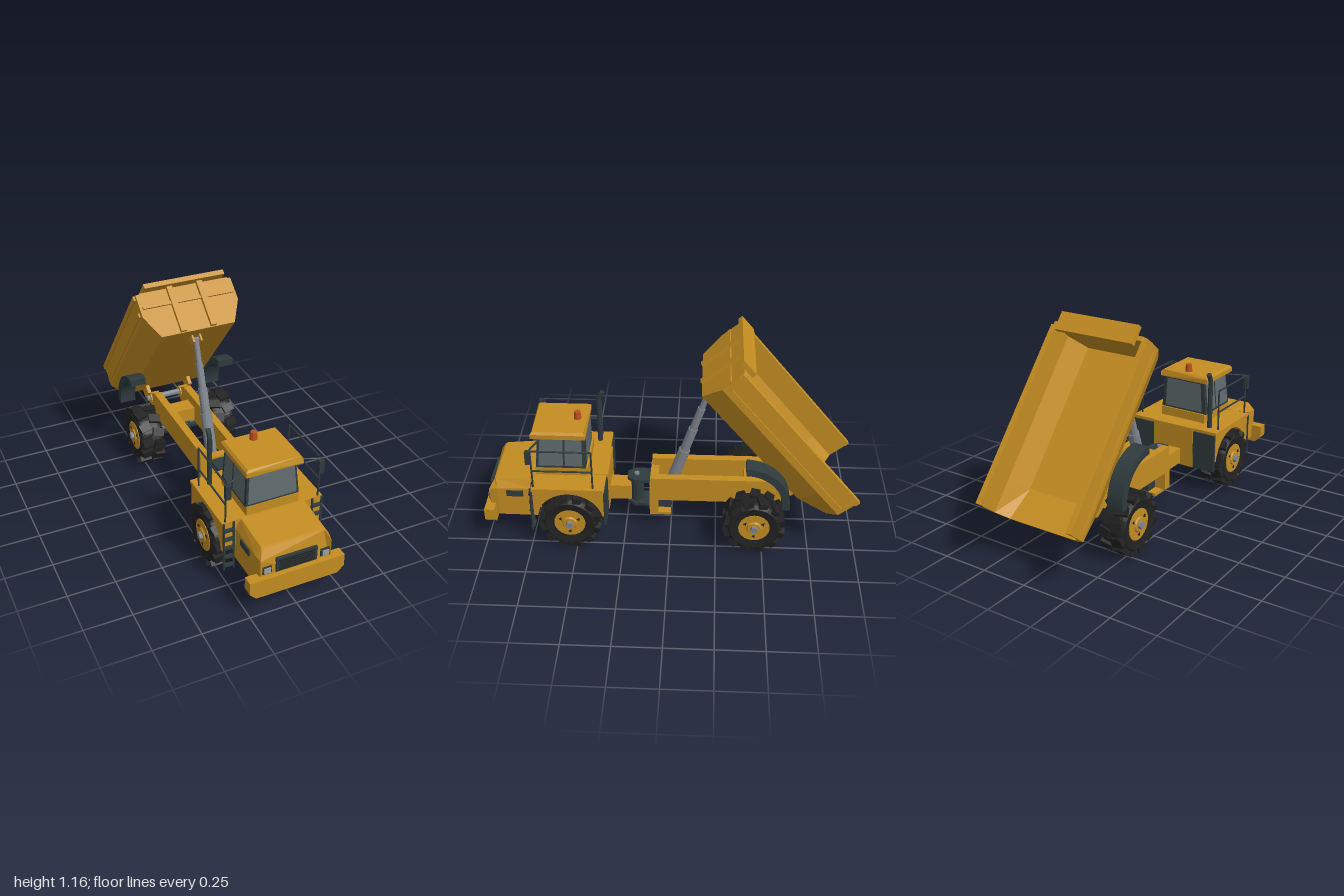
import * as THREE from 'three';

const mat = (name, color, side = THREE.FrontSide) => {
  const m = new THREE.MeshStandardMaterial({ color, side });
  m.name = name;
  m.flatShading = true;
  return m;
};
const yellow = mat('ochre paint', 0xc48d22);
const dark = mat('dark slate', 0x2f3b3d);
const rubber = mat('tyre rubber', 0x222222);
const glass = mat('tinted glass', 0x5f6a6d, THREE.DoubleSide);
const steel = mat('steel', 0x7f848c);
const lamp = mat('lamp lens', 0x9aa0a3);
const orange = mat('beacon orange', 0xb8501f);

export function createModel() {
  const root = new THREE.Group();
  const group = (name, parent = root) => {
    const g = new THREE.Group();
    g.name = name;
    parent.add(g);
    return g;
  };
  const add = (parent, name, geo, m) => {
    const mesh = new THREE.Mesh(geo, m);
    mesh.name = name;
    parent.add(mesh);
    return mesh;
  };
  // box from min/max ranges
  const box = (p, name, m, x0, x1, y0, y1, z0, z1) => add(p, name,
    new THREE.BoxGeometry(x1 - x0, y1 - y0, z1 - z0).translate((x0 + x1) / 2, (y0 + y1) / 2, (z0 + z1) / 2), m);
  // straight round bar between two points
  const rod = (p, name, m, a, b, r, r2 = r, seg = 8) => {
    const A = new THREE.Vector3(...a), B = new THREE.Vector3(...b);
    const mesh = add(p, name, new THREE.CylinderGeometry(r2, r, A.distanceTo(B), seg), m);
    mesh.position.copy(A).add(B).multiplyScalar(0.5);
    mesh.quaternion.setFromUnitVectors(new THREE.Vector3(0, 1, 0), B.sub(A).normalize());
  };
  const polygon = pts => new THREE.Shape(pts.map(q => new THREE.Vector2(...q)));
  // side profile, a shape in (z, y), extruded from x0 to x1
  const profile = (p, name, m, shape, x0, x1) => {
    const geo = new THREE.ExtrudeGeometry(shape, { depth: x1 - x0, bevelEnabled: false, curveSegments: 12 });
    add(p, name, geo.rotateY(-Math.PI / 2).translate(x1, 0, 0), m);
  };
  // skin between [x, y, z] sections, ordered rear to front and counter-clockwise from the front
  const loft = (p, name, m, sections) => {
    const pos = [], n = sections[0].length;
    const tri = (a, b, c) => pos.push(...a, ...b, ...c);
    for (let s = 0; s + 1 < sections.length; s++) for (let i = 0; i < n; i++) {
      const A = sections[s], B = sections[s + 1], j = (i + 1) % n;
      tri(A[i], A[j], B[j]);
      tri(A[i], B[j], B[i]);
    }
    const first = sections[0], last = sections.at(-1);
    for (const [a, b, c] of THREE.ShapeUtils.triangulateShape(first.map(q => new THREE.Vector2(q[0], q[1])), [])) {
      tri(first[c], first[b], first[a]);
      tri(last[a], last[b], last[c]);
    }
    const geo = new THREE.BufferGeometry();
    geo.setAttribute('position', new THREE.Float32BufferAttribute(pos, 3));
    geo.computeVertexNormals();
    add(p, name, geo, m);
  };
  // symmetric section from its right half, listed bottom to top
  const mirrored = half => [...half, ...half.map(([x, y, z]) => [-x, y, z]).reverse()];
  // x range on either side of the centre line
  const spanOf = s => (a, b) => s > 0 ? [a, b] : [-b, -a];

  // hood, grille and bumper
  const front = group('frontBody');
  const hoodSection = (z, zTop, w, shoulder, top) =>
    mirrored([[w, 0.14, z], [w, shoulder, z], [w - 0.027, top, zTop]]);
  loft(front, 'hood', yellow, [hoodSection(0.72, 0.72, 0.2, 0.32, 0.378),
    hoodSection(0.93, 0.935, 0.198, 0.315, 0.358), hoodSection(0.975, 0.945, 0.19, 0.305, 0.355)]);
  box(front, 'grille', dark, -0.11, 0.11, 0.222, 0.302, 0.97, 0.983);
  for (let i = 0; i < 5; i++) box(front, 'grilleSlat', rubber, -0.095, 0.095, 0.232 + i * 0.013, 0.238 + i * 0.013, 0.98, 0.987);
  const bumper = polygon([[-0.22, 0.11], [0.22, 0.11], [0.255, 0.145], [0.255, 0.212], [-0.255, 0.212], [-0.255, 0.145]]);
  add(front, 'bumper', new THREE.ExtrudeGeometry(bumper, { depth: 0.055, bevelEnabled: false }).translate(0, 0, 0.945), yellow);
  box(front, 'chassisBlock', yellow, -0.13, 0.13, 0.14, 0.378, 0.335, 0.73);
  box(front, 'platform', yellow, -0.275, 0.275, 0.358, 0.376, 0.345, 0.73);

  // wheel arch cut from the fender
  const arch = new THREE.Shape();
  arch.moveTo(0.35, 0.36);
  arch.lineTo(0.35, 0.2);
  arch.absarc(0.533, 0.165, 0.178, Math.PI - 0.2, 0.2, true);
  arch.lineTo(0.725, 0.2);
  arch.lineTo(0.725, 0.36);
  for (const s of [1, -1]) {
    const span = spanOf(s);
    profile(front, 'fender', yellow, arch, ...span(0.13, 0.27));
    box(front, 'mudFlap', dark, ...span(0.13, 0.268), 0.14, 0.36, 0.338, 0.35);
    box(front, 'headlightFrame', dark, ...span(0.133, 0.18), 0.226, 0.268, 0.97, 0.981);
    box(front, 'headlight', lamp, ...span(0.139, 0.174), 0.232, 0.262, 0.975, 0.986);
    box(front, 'sideVent', dark, ...span(0.19, 0.206), 0.27, 0.305, 0.79, 0.88);
    // ladder
    const ladder = group('ladder', front);
    for (const x of [0.215, 0.268]) rod(ladder, 'ladderRail', dark, [s * x, 0.095, 0.74], [s * x, 0.375, 0.735], 0.006);
    for (let i = 0; i < 5; i++) box(ladder, 'ladderRung', dark, ...span(0.215, 0.268), 0.112 + i * 0.054, 0.122 + i * 0.054, 0.728, 0.748);
    // handrail and mirror
    const rail = group('handrail', front);
    for (const z of [0.72, 0.405]) rod(rail, 'railPost', dark, [s * 0.253, 0.37, z], [s * 0.253, 0.605, z], 0.005);
    for (const y of [0.48, 0.605]) rod(rail, 'railBar', dark, [s * 0.253, y, 0.72], [s * 0.253, y, 0.405], 0.005);
    rod(rail, 'mirrorArm', dark, [s * 0.14, 0.605, 0.685], [s * 0.253, 0.605, 0.73], 0.005);
    box(rail, 'mirror', dark, ...span(0.235, 0.263), 0.525, 0.602, 0.725, 0.748);
  }

  // cab
  const cab = group('cab');
  box(cab, 'cabBase', yellow, -0.142, 0.142, 0.375, 0.428, 0.44, 0.722);
  const pillar = (side, isFront) => [[side * 0.145, 0.425, isFront ? 0.718 : 0.45], [side * 0.13, 0.615, isFront ? 0.7 : 0.45]];
  loft(cab, 'cabFrame', dark, [mirrored(pillar(1, false)), mirrored(pillar(1, true))]);
  // glass plate laid on the cab face between two pillars
  const pane = (name, [a0, a1], [b0, b1], u0, u1) => {
    const at = (u, v) => {
      const lo = new THREE.Vector3(...a0).lerp(new THREE.Vector3(...b0), u);
      return lo.lerp(new THREE.Vector3(...a1).lerp(new THREE.Vector3(...b1), u), v);
    };
    const q = [at(u0, 0.07), at(u1, 0.07), at(u1, 0.95), at(u0, 0.95)];
    const n = q[1].clone().sub(q[0]).cross(q[3].clone().sub(q[0])).setLength(0.003);
    const geo = new THREE.BufferGeometry().setFromPoints([0, 1, 2, 0, 2, 3].map(i => q[i].clone().add(n)));
    geo.computeVertexNormals();
    add(cab, name, geo, glass);
  };
  pane('windshield', pillar(-1, true), pillar(1, true), 0.04, 0.96);
  pane('rearWindow', pillar(1, false), pillar(-1, false), 0.08, 0.92);
  for (const [u0, u1] of [[0.05, 0.54], [0.58, 0.93]]) {
    pane('sideWindow', pillar(1, true), pillar(1, false), u0, u1);
    pane('sideWindow', pillar(-1, false), pillar(-1, true), 1 - u1, 1 - u0);
  }
  loft(cab, 'roof', yellow, [[0.445, 0.455], [0.735, 0.725]].map(([z, zTop]) =>
    mirrored([[0.153, 0.612, z], [0.153, 0.638, z], [0.141, 0.65, zTop]])));
  rod(cab, 'beacon', orange, [0, 0.65, 0.5], [0, 0.692, 0.5], 0.021, 0.017, 10);
  const pipe = new THREE.CatmullRomCurve3([[0.375, 0.41], [0.55, 0.41], [0.66, 0.408], [0.695, 0.388]]
    .map(([y, z]) => new THREE.Vector3(-0.195, y, z)));
  add(cab, 'exhaustPipe', new THREE.TubeGeometry(pipe, 14, 0.014, 8), dark);
  add(cab, 'exhaustTip', new THREE.CircleGeometry(0.014, 8).rotateX(-2.1).translate(-0.195, 0.695, 0.388), dark);

  // articulated joint
  const joint = group('joint');
  box(joint, 'frontTongue', yellow, -0.05, 0.05, 0.15, 0.24, 0.22, 0.34);
  for (const y of [0.11, 0.27]) {
    box(joint, 'hingePlate', dark, -0.058, 0.058, y, y + 0.018, 0.11, 0.2);
    loft(joint, 'hingeNose', dark, [[0.2, 0.058], [0.24, 0.03]].map(([z, w]) =>
      [[-w, y, z], [w, y, z], [w, y + 0.018, z], [-w, y + 0.018, z]]));
  }
  rod(joint, 'hingePin', steel, [0, 0.098, 0.19], [0, 0.3, 0.19], 0.014);
  rod(joint, 'hingeBarrel', dark, [0, 0.125, 0.19], [0, 0.275, 0.19], 0.036, 0.036, 12);

  // rear frame
  const frame = group('rearFrame');
  box(frame, 'frameHead', yellow, -0.115, 0.115, 0.1, 0.3, 0.07, 0.115);
  box(frame, 'bellyPlate', yellow, -0.095, 0.095, 0.083, 0.1, 0, 0.085);
  box(frame, 'cylinderBracket', dark, -0.05, 0.05, 0.1, 0.2, 0, 0.07);
  const beam = polygon([[0.11, 0.2], [-0.56, 0.2], [-0.6, 0.215], [-0.655, 0.27], [-0.65, 0.295], [-0.56, 0.345], [0.11, 0.345]]);
  for (const x of [0.072, -0.115]) {
    profile(frame, 'frameBeam', yellow, beam, x, x + 0.043);
    rod(frame, 'pivotBoss', yellow, [x - 0.008, 0.285, -0.62], [x + 0.051, 0.285, -0.62], 0.032, 0.032, 12);
  }
  box(frame, 'crossMember', yellow, -0.08, 0.08, 0.21, 0.29, -0.5, -0.4);
  rod(frame, 'pivotShaft', steel, [-0.14, 0.285, -0.62], [0.14, 0.285, -0.62], 0.017, 0.017, 10);

  // telescopic hoist
  const hoist = group('hoist');
  const along = t => [0, 0.14 + 0.72 * t, 0.035 - 0.237 * t];
  for (const [a, b, r] of [[0, 0.45, 0.032], [0.45, 0.64, 0.026], [0.64, 0.82, 0.021], [0.82, 1, 0.016]])
    rod(hoist, 'hoistStage', steel, along(a), along(b), r, r, 12);
  rod(hoist, 'hoistTopPin', steel, [-0.024, 0.86, -0.202], [0.024, 0.86, -0.202], 0.01);

  // tipped dump body, in its own level frame with the front wall at z = 0
  const bed = group('dumpBody');
  bed.position.set(0, 0.935, -0.16);
  bed.rotation.x = -50.2 * Math.PI / 180;
  const bedSection = (z, floor) => mirrored([[0.21, floor, z], [0.275, 0.128, z], [0.275, 0.26, z],
    [0.258, 0.26, z], [0.258, 0.135, z], [0.2, floor + 0.018, z]]);
  loft(bed, 'bedShell', yellow, [bedSection(-0.985, 0.06), bedSection(-0.81, 0), bedSection(0, 0)]);
  loft(bed, 'frontWall', yellow, [-0.022, 0.002].map(z =>
    mirrored([[0.21, 0, z], [0.275, 0.128, z], [0.275, 0.235, z], [0.255, 0.265, z]])));
  box(bed, 'spillGuard', yellow, -0.23, 0.23, 0.268, 0.295, -0.055, 0.045);
  box(bed, 'frontRib', yellow, -0.26, 0.26, 0.17, 0.187, 0, 0.012);
  // curved mudguard over the rear wheel
  const guard = new THREE.Shape();
  guard.absarc(-0.395, 0.335, 0.235, Math.PI / 2, Math.PI + 0.1, false);
  guard.absarc(-0.395, 0.335, 0.195, Math.PI + 0.1, Math.PI / 2, true);
  for (const s of [1, -1]) {
    const span = spanOf(s);
    box(bed, 'wallRib', yellow, ...span(0.07, 0.102), 0.005, 0.275, 0, 0.022);
    box(bed, 'topRail', yellow, ...span(0.255, 0.285), 0.238, 0.265, -0.985, -0.02);
    box(bed, 'sideRib', yellow, ...span(0.27, 0.284), 0.145, 0.168, -0.96, -0.03);
    box(bed, 'hoistEar', yellow, ...span(0.017, 0.027), -0.04, 0.005, -0.11, -0.06);
    box(bed, 'pivotLug', yellow, ...span(0.12, 0.14), -0.05, 0.01, -0.82, -0.74);
    profile(root, 'rearMudguard', dark, guard, ...span(0.225, 0.314));
  }

  // axles and wheels
  const tyreProfile = [[0.08, 0.01], [0.13, 0], [0.148, 0.015], [0.152, 0.03], [0.152, 0.11], [0.148, 0.125], [0.13, 0.14], [0.08, 0.13]]
    .map(q => new THREE.Vector2(...q));
  for (const z of [0.533, -0.452]) {
    rod(root, 'axle', dark, [-0.17, 0.165, z], [0.17, 0.165, z], 0.035, 0.035, 12);
    add(root, 'differential', new THREE.SphereGeometry(0.065, 12, 8).translate(0, 0.165, z), dark);
    for (const s of [1, -1]) {
      const wheel = group('wheel');
      wheel.position.set(s * 0.155, 0.165, z);
      if (s < 0) wheel.rotation.y = Math.PI;
      add(wheel, 'tyre', new THREE.LatheGeometry(tyreProfile, 24).rotateZ(-Math.PI / 2), rubber);
      for (let i = 0; i < 24; i++) {
        const lug = new THREE.BoxGeometry(0.064, 0.03, 0.048).rotateY(i % 2 ? 0.25 : -0.25);
        lug.translate(i % 2 ? 0.105 : 0.035, 0.15, 0).rotateX(i * Math.PI / 12);
        add(wheel, 'treadLug', lug, rubber);
      }
      rod(wheel, 'rim', yellow, [0.015, 0, 0], [0.134, 0, 0], 0.084, 0.084, 20);
      rod(wheel, 'hubPlate', yellow, [0.13, 0, 0], [0.142, 0, 0], 0.045, 0.035, 12);
      rod(wheel, 'hubCap', steel, [0.13, 0, 0], [0.158, 0, 0], 0.024, 0.02, 6);
      for (let i = 0; i < 3; i++) {
        const a = Math.PI / 6 + i * Math.PI * 2 / 3;
        const y = 0.055 * Math.sin(a), w = 0.055 * Math.cos(a);
        rod(wheel, 'rimHole', rubber, [0.13, y, w], [0.138, y, w], 0.011, 0.011, 3);
      }
    }
  }
  return root;
}
